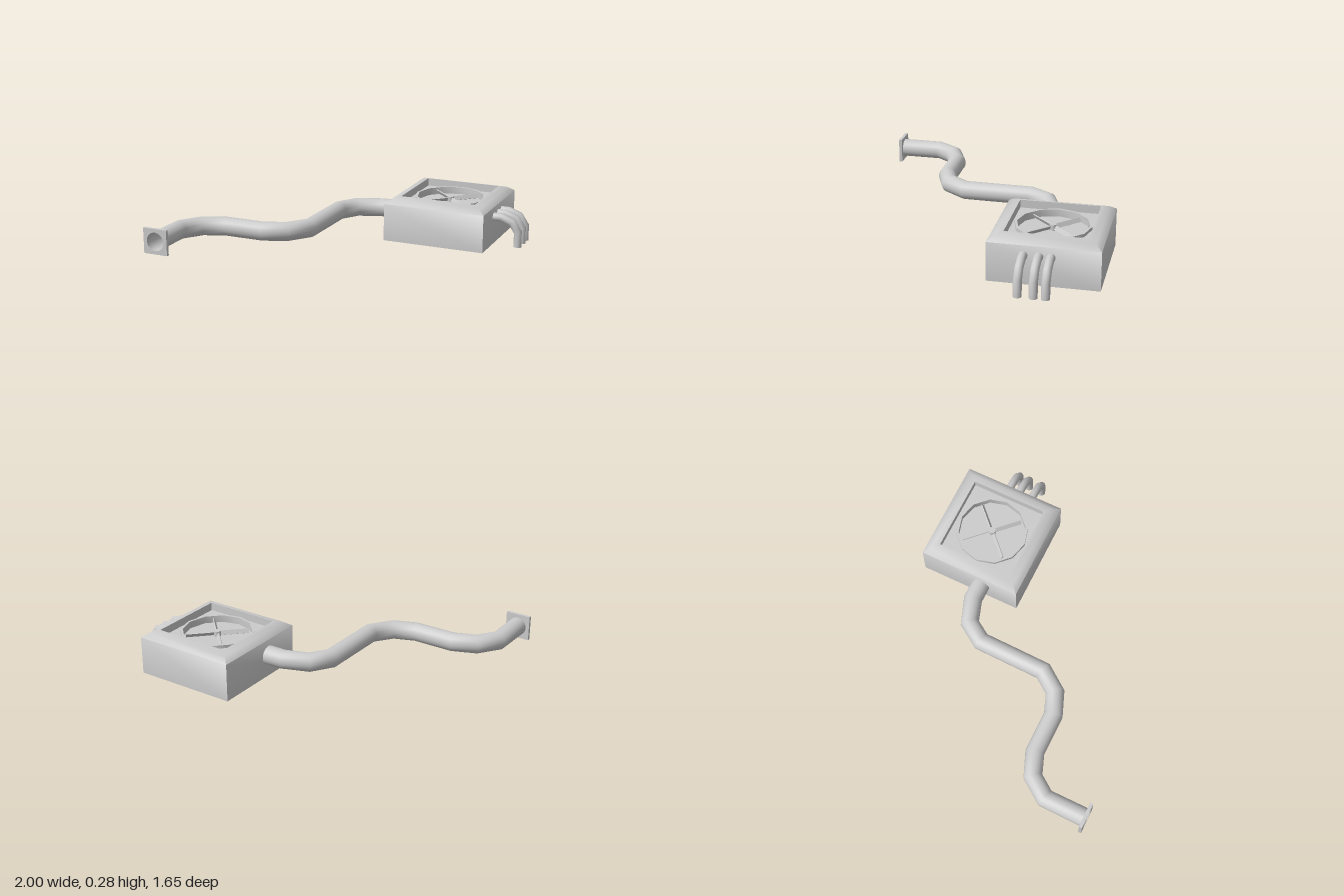
import * as THREE from 'three';
import { toCreasedNormals } from 'three/addons/utils/BufferGeometryUtils.js';

const material = new THREE.MeshStandardMaterial({ color: 0xcccccc, side: THREE.DoubleSide });

function add(parent, name, geometry, x = 0, y = 0, z = 0) {
  const mesh = new THREE.Mesh(geometry, material);
  mesh.name = name;
  mesh.position.set(x, y, z);
  parent.add(mesh);
  return mesh;
}

// Open tube through a flat path; "across" is the normal of the path's plane
function pipe(path, radius, sides, across) {
  const pts = path.map((p) => new THREE.Vector3(...p));
  const positions = [], index = [];
  pts.forEach((p, i) => {
    const before = p.clone().sub(pts[Math.max(i - 1, 0)]).normalize();
    const after = pts[Math.min(i + 1, pts.length - 1)].clone().sub(p).normalize();
    const side = across.clone().cross(before.add(after).normalize());
    for (let j = 0; j < sides; j++) {
      const a = (j / sides) * Math.PI * 2;
      const v = p.clone().addScaledVector(side, radius * Math.cos(a)).addScaledVector(across, radius * Math.sin(a));
      positions.push(v.x, v.y, v.z);
      if (i < pts.length - 1) {
        const k = (j + 1) % sides, r = i * sides, n = r + sides;
        index.push(r + j, r + k, n + j, r + k, n + k, n + j);
      }
    }
  });
  const g = new THREE.BufferGeometry();
  g.setAttribute('position', new THREE.Float32BufferAttribute(positions, 3));
  g.setIndex(index);
  g.computeVertexNormals();
  return g;
}

function squareShape(half) {
  return new THREE.Shape([[-half, -half], [half, -half], [half, half], [-half, half]].map((p) => new THREE.Vector2(...p)));
}

function circlePath(radius, sides) {
  const pts = [];
  for (let i = 0; i < sides; i++) {
    const a = (i / sides) * Math.PI * 2;
    pts.push(new THREE.Vector2(radius * Math.cos(a), radius * Math.sin(a)));
  }
  return new THREE.Path(pts);
}

// Profile turned around y; four sides give a square plan of the given half widths
function turned(profile, sides) {
  const scale = sides === 4 ? Math.SQRT2 : 1;
  const pts = profile.map(([r, y]) => new THREE.Vector2(r * scale, y));
  return toCreasedNormals(new THREE.LatheGeometry(pts, sides, sides === 4 ? Math.PI / 4 : 0), 1);
}

export function createModel() {
  const model = new THREE.Group();
  model.name = 'ventilationUnit';

  // Fan housing: hollow shell, open below, with a square recess in its top
  const unit = new THREE.Group();
  unit.name = 'fanUnit';
  unit.position.set(0.48, 0, -0.5);
  model.add(unit);
  add(unit, 'housing', turned([[0.33, 0], [0.33, 0.24], [0.29, 0.268], [0.25, 0.28], [0.245, 0.28], [0.245, 0.23]], 4));

  // Recess floor with a round opening
  const floor = squareShape(0.245);
  floor.holes.push(circlePath(0.22, 12));
  add(unit, 'recessFloor', new THREE.ShapeGeometry(floor).rotateX(-Math.PI / 2), 0, 0.23, 0);

  // Raised rim and shallow well that hold the fan
  add(unit, 'fanRing', turned([[0.23, 0.23], [0.23, 0.25], [0.215, 0.25], [0.215, 0.205], [0, 0.205]], 12));

  // Four tilted blades around a small hub
  add(unit, 'fanHub', new THREE.CylinderGeometry(0.022, 0.022, 0.035, 12), 0, 0.228, 0);
  for (let i = 0; i < 4; i++) {
    const blade = new THREE.BoxGeometry(0.18, 0.006, 0.028);
    blade.rotateX(Math.PI / 3).translate(0.105, 0, 0).rotateY(Math.PI / 4 + (i * Math.PI) / 2);
    add(unit, 'fanBlade', blade, 0, 0.228, 0);
  }

  // Main duct winding across the ground plane
  const duct = [[0.16, -0.42], [0.04, -0.42], [-0.115, -0.365], [-0.193, -0.245], [-0.2, 0.19], [-0.292, 0.315],
    [-0.43, 0.368], [-0.69, 0.368], [-0.83, 0.423], [-0.917, 0.545], [-0.92, 0.822]];
  add(model, 'duct', pipe(duct.map(([x, z]) => [x, 0.14, z]), 0.059, 20, new THREE.Vector3(0, 1, 0)));

  // Square flange around the duct mouth
  const flange = squareShape(0.08);
  flange.holes.push(circlePath(0.058, 20));
  add(model, 'flange', new THREE.ExtrudeGeometry(flange, { depth: 0.02, bevelEnabled: false }), -0.92, 0.14, 0.805);

  // Small drain pipes bending down to the ground
  const drain = [[0.8, 0.18], [0.86, 0.18], [0.93, 0.155], [0.97, 0.095], [0.97, 0]];
  for (const z of [-0.545, -0.475, -0.385]) {
    add(model, 'drainPipe', pipe(drain.map(([x, y]) => [x, y, z]), 0.026, 12, new THREE.Vector3(0, 0, 1)));
  }
  return model;
}
